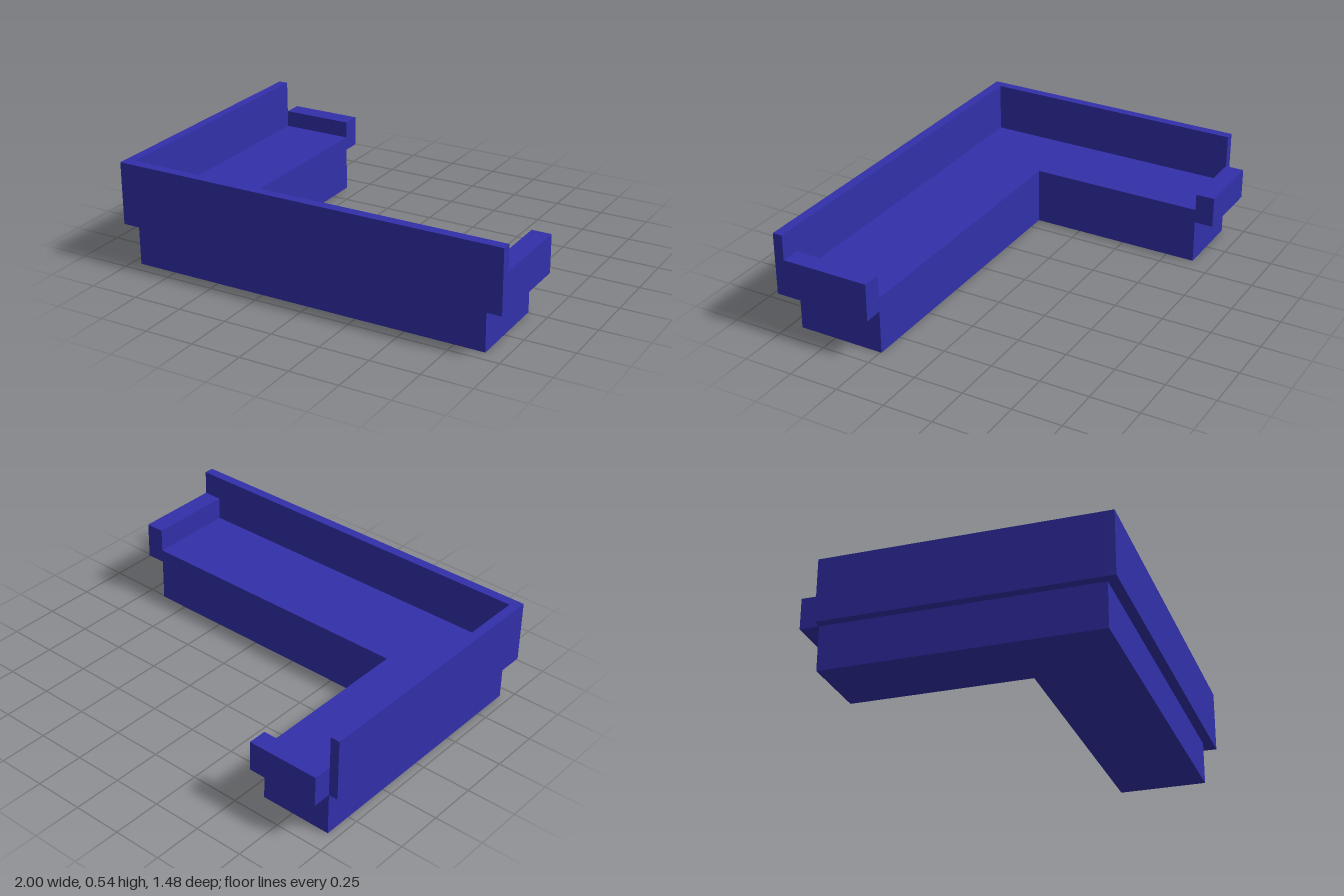
import * as THREE from 'three';

export function createModel() {
  const group = new THREE.Group();
  const material = new THREE.MeshStandardMaterial({ color: 0x3230aa });

  // Box given by its min and max extents on each axis
  const addBox = (name, [x0, x1], [y0, y1], [z0, z1]) => {
    const mesh = new THREE.Mesh(new THREE.BoxGeometry(x1 - x0, y1 - y0, z1 - z0), material);
    mesh.position.set((x0 + x1) / 2, (y0 + y1) / 2, (z0 + z1) / 2);
    mesh.name = name;
    group.add(mesh);
  };

  // L-shaped seat base, outlined in plan (x, -z) and extruded upwards
  const plan = [[-0.953, 0.69], [0.903, 0.69], [0.903, 0.243], [-0.583, 0.243], [-0.583, -0.645], [-0.953, -0.645]];
  const shape = new THREE.Shape(plan.map(([x, z]) => new THREE.Vector2(x, -z)));
  const seatGeometry = new THREE.ExtrudeGeometry(shape, { depth: 0.29, bevelEnabled: false });
  seatGeometry.rotateX(-Math.PI / 2);
  const seat = new THREE.Mesh(seatGeometry, material);
  seat.name = 'seat';
  group.add(seat);

  // Backrests along the two outer sides, meeting at the corner
  addBox('longBackrest', [-1, 1], [0.22, 0.537], [0.69, 0.74]);
  addBox('shortBackrest', [-1, -0.953], [0.22, 0.537], [-0.645, 0.69]);

  // Armrests capping the two ends
  addBox('longSideArmrest', [0.903, 1], [0.22, 0.41], [0.243, 0.69]);
  addBox('shortSideArmrest', [-0.953, -0.583], [0.22, 0.375], [-0.74, -0.645]);

  return group;
}
